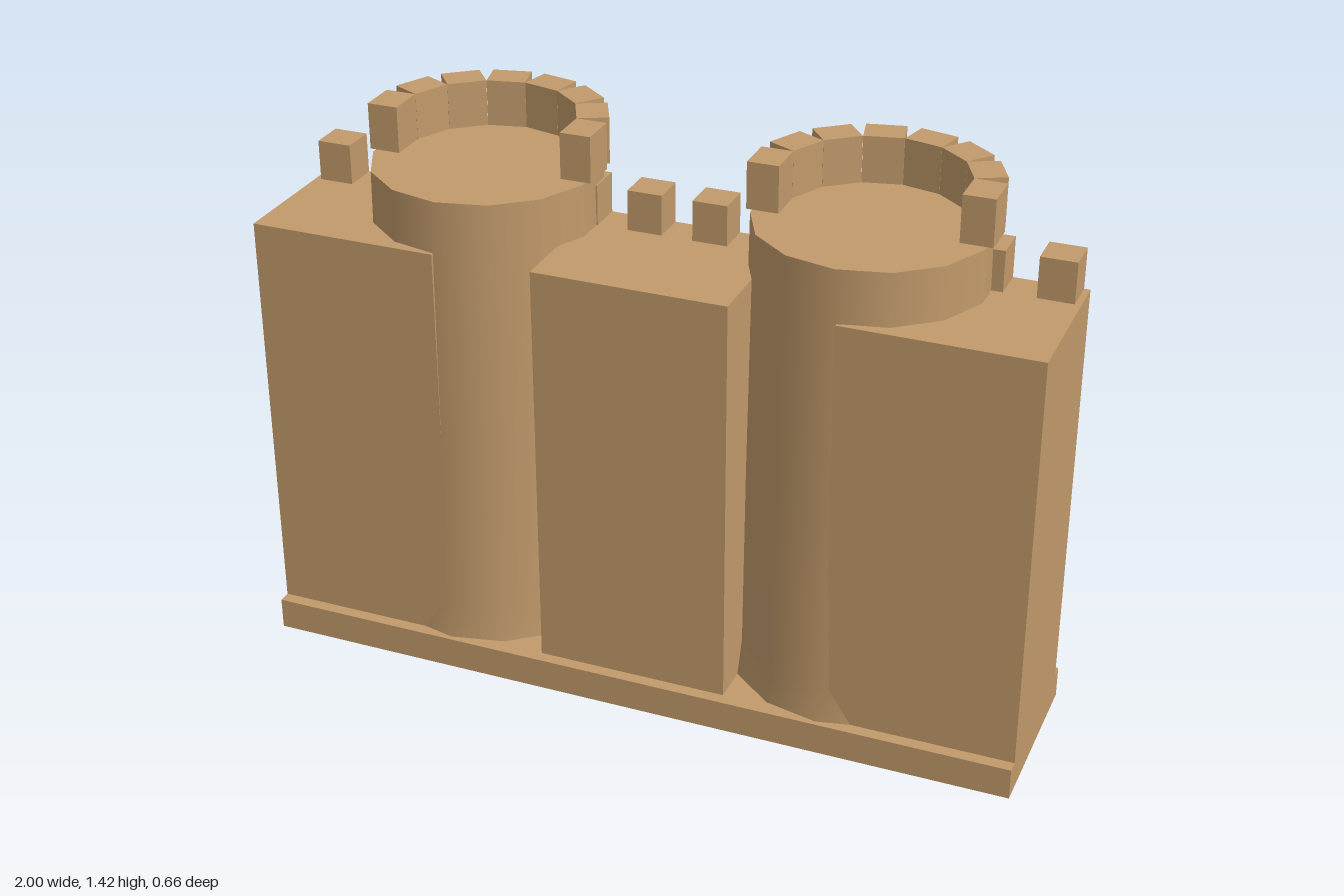
import * as THREE from 'three';

const stone = new THREE.MeshStandardMaterial({ color: 0xc19a6b });
stone.name = 'sandstone';
const dark = new THREE.MeshStandardMaterial({ color: 0x2c3e50 });
dark.name = 'darkWindow';

const SIDES = 14;
const STEP = (Math.PI * 2) / SIDES;
const WALL_TOP = 1.165;
const TOWER_TOP = 1.3;

// Adds a box given by its minimum and maximum corners
function addBox(parent, name, material, [x0, y0, z0], [x1, y1, z1]) {
  const mesh = new THREE.Mesh(new THREE.BoxGeometry(x1 - x0, y1 - y0, z1 - z0), material);
  mesh.position.set((x0 + x1) / 2, (y0 + y1) / 2, (z0 + z1) / 2);
  mesh.name = name;
  parent.add(mesh);
  return mesh;
}

// Flat polygon closing the tower at a given height
function addCap(parent, name, radius, y, up) {
  const geometry = new THREE.CircleGeometry(radius, SIDES, Math.PI / 2);
  geometry.rotateX(up ? -Math.PI / 2 : Math.PI / 2);
  const mesh = new THREE.Mesh(geometry, stone);
  mesh.position.y = y;
  mesh.name = name;
  parent.add(mesh);
}

function createTower() {
  const tower = new THREE.Group();
  tower.name = 'tower';

  // Tapered shaft with a flared foot
  const profile = [[0.332, 0], [0.306, 0.17], [0.302, 0.65], [0.292, TOWER_TOP]]
    .map(([r, y]) => new THREE.Vector2(r, y));
  const shaft = new THREE.Mesh(new THREE.LatheGeometry(profile, SIDES), stone);
  shaft.name = 'towerShaft';
  tower.add(shaft);
  addCap(tower, 'towerRoof', 0.292, TOWER_TOP, true);
  addCap(tower, 'towerUnderside', 0.332, 0, false);

  // Battlements round the back half, one per facet
  for (let i = 0; i < 8; i++) {
    const pivot = new THREE.Group();
    pivot.name = 'towerMerlon';
    pivot.rotation.y = (i - 3.5) * STEP;
    addBox(pivot, 'towerMerlonBlock', stone, [-0.05, TOWER_TOP, -0.3], [0.05, 1.42, -0.22]);
    tower.add(pivot);
  }

  // Narrow window on the back
  addBox(tower, 'window', dark, [-0.03, 0.65, -0.315], [0.03, 0.85, -0.28]);
  return tower;
}

export function createModel() {
  const castle = new THREE.Group();
  castle.name = 'castleWall';

  // Plinth and central wall
  addBox(castle, 'plinth', stone, [-1, 0, -0.132], [1, 0.083, 0.332]);
  addBox(castle, 'centreWall', stone, [-0.25, 0.083, -0.1], [0.25, WALL_TOP, 0.3]);

  // Outer walls, towers and wall battlements on both sides
  for (const side of [-1, 1]) {
    const wallX = [side * 0.51, side].sort((a, b) => a - b);
    addBox(castle, 'sideWall', stone, [wallX[0], 0.083, -0.1], [wallX[1], WALL_TOP, 0.3]);

    const tower = createTower();
    tower.position.x = side * 0.5;
    castle.add(tower);

    for (const d of [0.085, 0.255, 0.77, 0.94]) {
      const x = side * d;
      addBox(castle, 'wallMerlon', stone, [x - 0.045, WALL_TOP, -0.1], [x + 0.045, 1.27, -0.01]);
    }
  }
  return castle;
}
